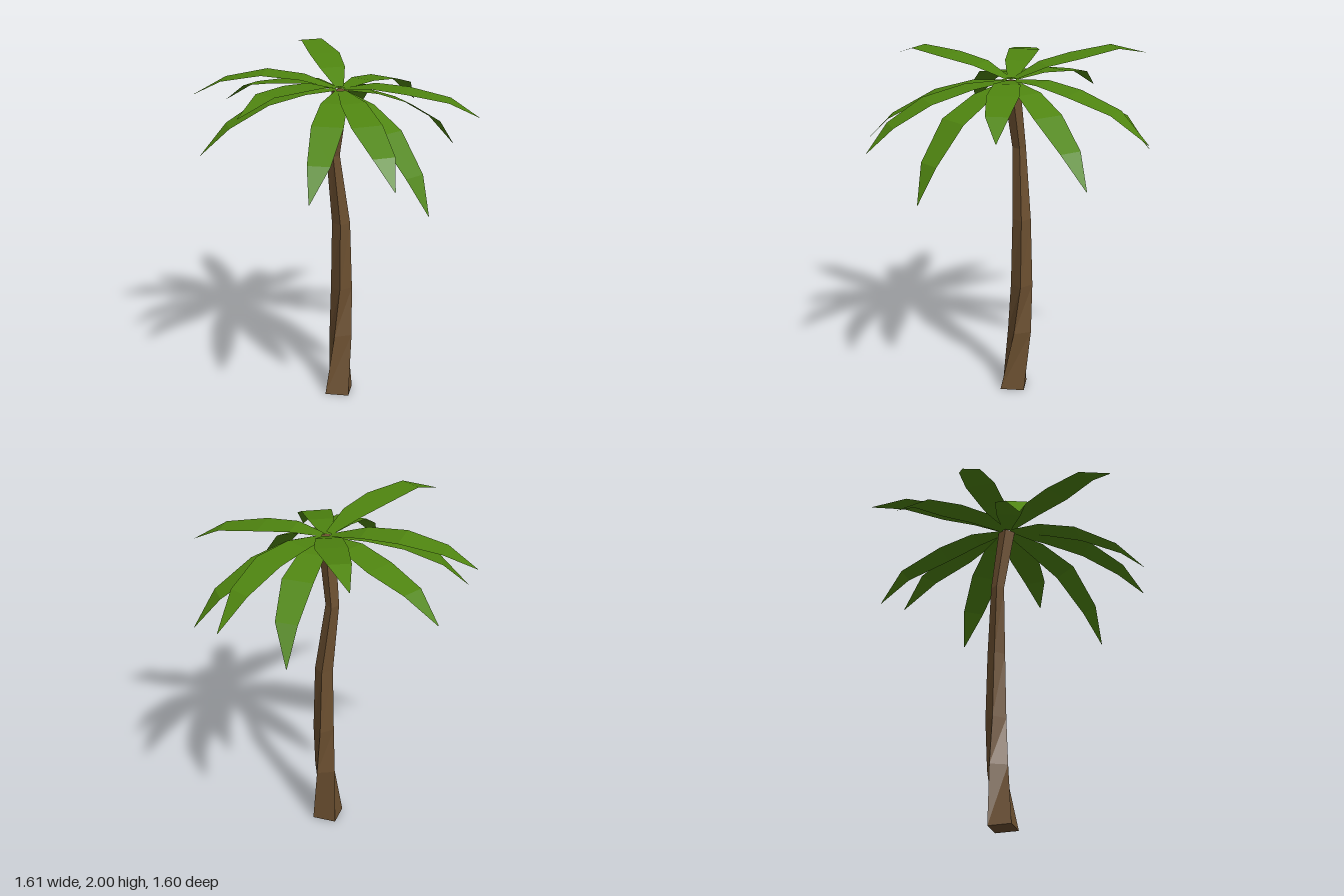
import * as THREE from 'three';

const bark = new THREE.MeshStandardMaterial({ color: 0x6b4f30, flatShading: true });
bark.name = 'bark brown';
const green = new THREE.MeshStandardMaterial({ color: 0x4f8510, flatShading: true, side: THREE.DoubleSide });
green.name = 'leaf green';

// Joins a list of equally long cross-sections into a faceted surface
function loft(rings, closed) {
  const n = rings[0].length, pos = [], index = [];
  rings.forEach(r => r.forEach(p => pos.push(...p)));
  for (let i = 0; i < rings.length - 1; i++) {
    for (let j = 0; j < (closed ? n : n - 1); j++) {
      const k = (j + 1) % n, a = i * n + j, b = i * n + k, c = a + n, d = b + n;
      index.push(a, b, d, a, d, c);
    }
  }
  if (closed) { // end caps
    const t = (rings.length - 1) * n;
    for (let j = 1; j < n - 1; j++) index.push(0, j + 1, j, t, t + j, t + j + 1);
  }
  const g = new THREE.BufferGeometry();
  g.setAttribute('position', new THREE.Float32BufferAttribute(pos, 3));
  g.setIndex(index);
  const flat = g.toNonIndexed();
  flat.computeVertexNormals();
  return flat;
}

// Trunk rings: centre x, y, z, radius, twist in degrees
const TRUNK = [
  [0.02, 0, -0.045, 0.097, -45],
  [0.025, 0.36, -0.08, 0.074, -20],
  [0.028, 0.65, -0.092, 0.062, 0],
  [0.025, 1.05, -0.09, 0.052, 5],
  [-0.018, 1.46, -0.07, 0.038, 10],
  [0.03, 1.85, -0.03, 0.048, 10],
];

// Fronds: middle, outer and tip points of each spine
const FRONDS = [
  [[0.40, 1.865, -0.03], [0.635, 1.82, -0.03], [0.80, 1.725, -0.045]],
  [[0.34, 1.70, 0.245], [0.49, 1.50, 0.355], [0.575, 1.30, 0.405]],
  [[0.24, 1.78, 0.405], [0.355, 1.67, 0.585], [0.43, 1.53, 0.705]],
  [[0.03, 1.77, 0.41], [0.025, 1.63, 0.65], [0, 1.47, 0.80]],
  [[-0.15, 1.95, 0.33], [-0.275, 1.96, 0.54], [-0.385, 1.88, 0.71]],
  [[-0.36, 1.81, 0.115], [-0.555, 1.69, 0.21], [-0.70, 1.53, 0.27]],
  [[-0.405, 1.93, -0.053], [-0.635, 1.885, -0.04], [-0.81, 1.79, -0.02]],
  [[-0.34, 1.835, -0.25], [-0.55, 1.78, -0.355], [-0.715, 1.655, -0.435]],
  [[-0.115, 1.97, -0.37], [-0.23, 2.0, -0.58], [-0.34, 1.945, -0.75]],
  [[0.05, 1.78, -0.43], [0.025, 1.66, -0.67], [-0.02, 1.47, -0.80]],
  [[0.225, 1.845, -0.39], [0.30, 1.765, -0.62], [0.355, 1.61, -0.80]],
  [[0.35, 1.745, -0.265], [0.52, 1.605, -0.40], [0.625, 1.43, -0.495]],
];
const WIDTHS = [0.05, 0.145, 0.175, 0.125, 0.004];
const CROWN = new THREE.Vector3(0.03, 1.86, -0.03);

function frondGeometry(points) {
  const [mid, outer, tip] = points.map(p => new THREE.Vector3(...p));
  const inner = CROWN.clone().lerp(mid, 0.5);
  inner.y += 0.02;
  const across = new THREE.Vector3(outer.z - CROWN.z, 0, CROWN.x - outer.x).normalize();
  const start = CROWN.clone().lerp(mid, 0.06);
  return loft([start, inner, mid, outer, tip].map((p, i) => [-0.5, 0.5].map(
    s => p.clone().addScaledVector(across, s * WIDTHS[i]).toArray())), false);
}

export function createModel() {
  const palm = new THREE.Group();
  palm.name = 'palmTree';

  // Twisted, bent, four-sided trunk
  const rings = TRUNK.map(([x, y, z, r, deg]) => [0, 1, 2, 3].map(i => {
    const a = THREE.MathUtils.degToRad(deg + i * 90);
    return [x + r * Math.sin(a), y, z + r * Math.cos(a)];
  }));
  const trunk = new THREE.Mesh(loft(rings, true), bark);
  trunk.name = 'trunk';
  palm.add(trunk);

  // Crown of drooping fronds
  const crown = new THREE.Group();
  crown.name = 'crown';
  FRONDS.forEach((points, i) => {
    const frond = new THREE.Mesh(frondGeometry(points), green);
    frond.name = `frond${i + 1}`;
    crown.add(frond);
  });
  palm.add(crown);
  return palm;
}
